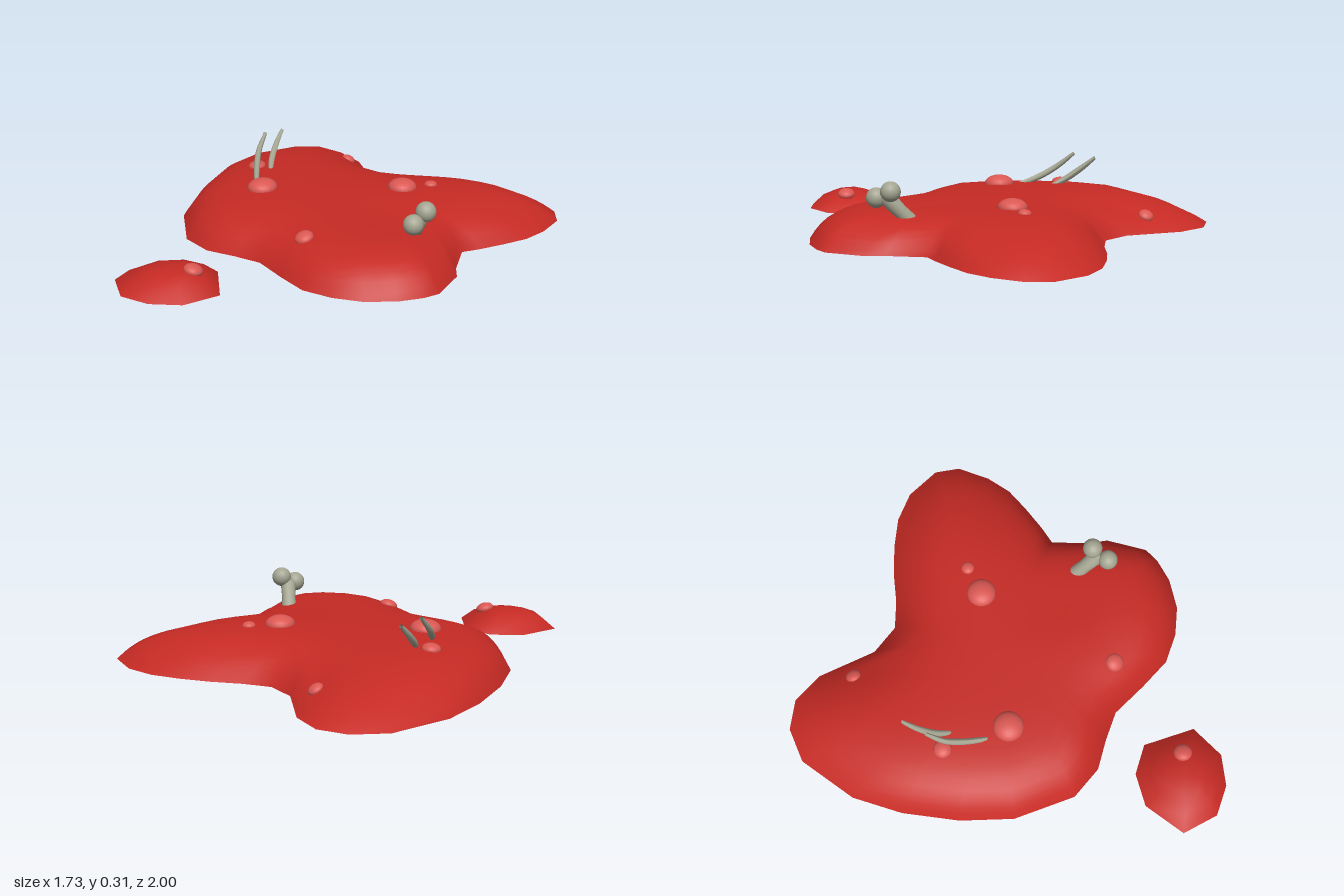
import * as THREE from 'three';

const red = new THREE.MeshStandardMaterial({ color: 0xc62a24, side: THREE.DoubleSide });
const pink = new THREE.MeshStandardMaterial({ color: 0xdb5853 });
const bone = new THREE.MeshStandardMaterial({ color: 0xa5a592 });

// Ground outlines as x, z pairs
const puddleOutline = [
  -0.55, -1, -0.41, -1, -0.28, -0.91, -0.13, -0.68, 0, -0.605, 0.13, -0.62, 0.27, -0.655,
  0.41, -0.675, 0.55, -0.68, 0.69, -0.645, 0.825, -0.54, 0.86, -0.43, 0.825, -0.28,
  0.77, -0.17, 0.69, -0.08, 0.6, 0.01, 0.53, 0.07, 0.55, 0.25, 0.575, 0.33, 0.55, 0.52,
  0.5, 0.58, 0.41, 0.645, 0.275, 0.695, 0.14, 0.7, 0, 0.67, -0.135, 0.575, -0.275, 0.465,
  -0.41, 0.435, -0.55, 0.415, -0.69, 0.325, -0.825, 0.07, -0.865, -0.17, -0.865, -0.43,
  -0.825, -0.66, -0.69, -0.915,
];
const dropletOutline = [
  -0.55, 0.585, -0.41, 0.61, -0.305, 0.825, -0.41, 0.96,
  -0.55, 0.995, -0.69, 0.965, -0.79, 0.825, -0.69, 0.645,
];

// Softened distance from a point to the outline
function edgeDistance(o, x, z) {
  let sum = 0;
  for (let i = 0; i < o.length; i += 2) {
    const ax = o[i], az = o[i + 1];
    const dx = o[(i + 2) % o.length] - ax, dz = o[(i + 3) % o.length] - az;
    const t = THREE.MathUtils.clamp(((x - ax) * dx + (z - az) * dz) / (dx * dx + dz * dz), 0, 1);
    const d = Math.hypot(x - ax - t * dx, z - az - t * dz);
    if (d < 1e-5) return 0;
    sum += d ** -6;
  }
  return sum ** (-1 / 6);
}

// Steep at the front and left, gentler towards the back and right lobes
function puddleHeight(x, z) {
  const { smoothstep } = THREE.MathUtils;
  const k = 0.085 + 0.12 * (1 - smoothstep(z, -0.95, -0.4)) + 0.07 * smoothstep(x, 0.3, 0.8) * smoothstep(-z, 0, 0.3);
  const dent = 0.015 * Math.exp(-((x - 0.2) ** 2 + (z - 0.17) ** 2) / 0.03);
  return (0.167 - dent) * (1 - Math.exp(-edgeDistance(puddleOutline, x, z) / k));
}
const dropletHeight = (x, z) => 0.1 * (1 - Math.exp(-edgeDistance(dropletOutline, x, z) / 0.07));

// Open-bottomed dome: shrinking rings of the outline around a centre
function dome(name, o, cx, cz, rings, height) {
  const n = o.length / 2, pos = [], index = [];
  for (const t of rings) {
    for (let i = 0; i < n; i++) {
      const x = cx + t * (o[2 * i] - cx), z = cz + t * (o[2 * i + 1] - cz);
      pos.push(x, t === 1 ? 0 : height(x, z), z);
    }
  }
  pos.push(cx, height(cx, cz), cz);
  const tip = rings.length * n;
  for (let r = 0; r < rings.length; r++) {
    for (let i = 0; i < n; i++) {
      const j = (i + 1) % n, a = r * n + i, b = r * n + j;
      if (r === rings.length - 1) index.push(a, tip, b);
      else index.push(a, a + n, b, b, a + n, b + n);
    }
  }
  const g = new THREE.BufferGeometry();
  g.setAttribute('position', new THREE.Float32BufferAttribute(pos, 3));
  g.setIndex(index);
  g.computeVertexNormals();
  const mesh = new THREE.Mesh(g, red);
  mesh.name = name;
  return mesh;
}

// Flattened bubble lying along the slope of the surface
function bubble(x, z, r, height) {
  const e = 0.03;
  const normal = new THREE.Vector3(
    height(x - e, z) - height(x + e, z), 2 * e, height(x, z - e) - height(x, z + e)).normalize();
  const mesh = new THREE.Mesh(new THREE.SphereGeometry(r, 20, 14), pink);
  mesh.name = 'bubble';
  mesh.scale.y = 0.6;
  mesh.position.set(x, height(x, z), z);
  mesh.quaternion.setFromUnitVectors(new THREE.Vector3(0, 1, 0), normal);
  return mesh;
}

// Curved rib: a tube narrowed towards both ends
function rib(points) {
  const curve = new THREE.CatmullRomCurve3(points.map((p) => new THREE.Vector3(...p)));
  const segs = 14, sides = 8;
  const g = new THREE.TubeGeometry(curve, segs, 0.015, sides);
  const p = g.attributes.position, v = new THREE.Vector3();
  for (let i = 0; i < p.count; i++) {
    const t = Math.floor(i / (sides + 1)) / segs;
    const c = curve.getPointAt(t);
    const s = 0.4 + 0.6 * Math.sin(Math.PI * (0.12 + 0.8 * t));
    v.fromBufferAttribute(p, i).sub(c).multiplyScalar(s).add(c);
    p.setXYZ(i, v.x, v.y, v.z);
  }
  g.computeVertexNormals();
  const mesh = new THREE.Mesh(g, bone.clone());
  mesh.material.side = THREE.DoubleSide;
  mesh.name = 'rib';
  return mesh;
}

// Broken bone: flared shaft with two knuckles
function brokenBone() {
  const group = new THREE.Group();
  group.name = 'brokenBone';
  const base = new THREE.Vector3(0.328, 0.085, 0.18), top = new THREE.Vector3(0.398, 0.235, 0.302);
  const dir = top.clone().sub(base), len = dir.length();
  const profile = [[0, 0], [0.037, 0], [0.037, 0.02], [0.032, len * 0.5], [0.036, len * 0.85], [0.02, len], [0, len]];
  const shaft = new THREE.Mesh(
    new THREE.LatheGeometry(profile.map(([r, y]) => new THREE.Vector2(r, y)), 16), bone);
  shaft.name = 'boneShaft';
  shaft.position.copy(base);
  shaft.quaternion.setFromUnitVectors(new THREE.Vector3(0, 1, 0), dir.normalize());
  group.add(shaft);
  for (const [x, y, z] of [[0.415, 0.253, 0.267], [0.382, 0.218, 0.343]]) {
    const knuckle = new THREE.Mesh(new THREE.SphereGeometry(0.045, 20, 14), bone);
    knuckle.name = 'boneKnuckle';
    knuckle.position.set(x, y, z);
    group.add(knuckle);
  }
  return group;
}

export function createModel() {
  const model = new THREE.Group();
  model.name = 'puddle';
  model.add(
    dome('puddleBody', puddleOutline, -0.1, -0.1,
      [1, 0.975, 0.945, 0.91, 0.86, 0.8, 0.72, 0.62, 0.5, 0.37, 0.24, 0.12], puddleHeight),
    dome('droplet', dropletOutline, -0.55, 0.8, [1, 0.72, 0.4], dropletHeight),
  );

  // Bubbles on the puddle and droplet
  for (const [x, z, r] of [
    [-0.45, -0.005, 0.07], [0.165, -0.215, 0.067], [-0.59, -0.28, 0.042],
    [0.28, -0.295, 0.03], [-0.28, -0.745, 0.035], [-0.08, 0.43, 0.042],
  ]) model.add(bubble(x, z, r, puddleHeight));
  model.add(bubble(-0.443, 0.78, 0.042, dropletHeight));

  // Bones sticking out
  model.add(
    brokenBone(),
    rib([[-0.505, 0.14, -0.065], [-0.55, 0.185, -0.18], [-0.575, 0.24, -0.27], [-0.572, 0.305, -0.35]]),
    rib([[-0.503, 0.14, -0.235], [-0.53, 0.185, -0.32], [-0.535, 0.235, -0.39], [-0.528, 0.292, -0.46]]),
  );
  return model;
}
